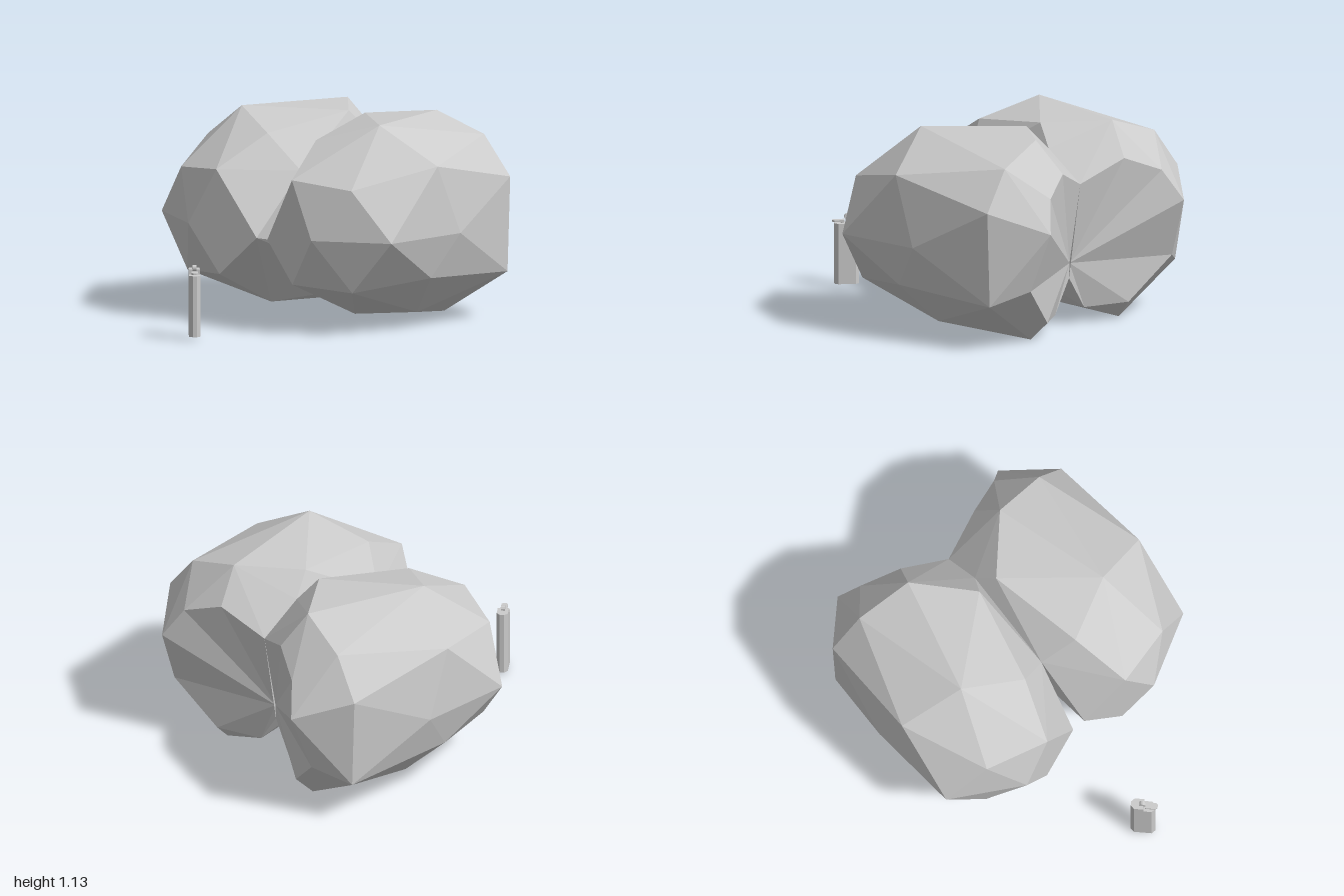
import * as THREE from 'three';
import { ConvexGeometry } from 'three/addons/geometries/ConvexGeometry.js';

const grey = new THREE.MeshStandardMaterial({ color: 0xcccccc, flatShading: true, side: THREE.DoubleSide });
const V = (p) => new THREE.Vector3(...p);

// Rim of the hollowed back, from the cleft round the outside and back to the cleft
const rim = [
  [0, 0.815, -0.735], [0.265, 0.93, -0.83], [0.48, 0.84, -0.92], [0.575, 0.665, -1],
  [0.61, 0.335, -0.885], [0.35, 0.1, -0.79], [0.125, 0.09, -0.66], [0, 0.275, -0.655],
].map(V);
const backCentre = V([0, 0.36, -0.658]);

// Remaining corners of one faceted lobe
const corners = [
  [0, 0.985, -0.51], [0, 0.83, 0.06], [0.06, 1.105, -0.4], [0.18, 1.03, 0.135], // cleft
  [0.33, 1.115, -0.69], [0.645, 1.01, -0.73], [0.82, 0.79, -0.75], [0.8, 0.26, -0.75], // back ring
  [0.51, 1.13, -0.02], [0.85, 0.925, -0.12], [0.885, 0.54, -0.27], [0.81, 0.3, -0.11], // outer side
  [0.605, 0.075, -0.225], [0.31, 0.055, -0.04], [0.38, 0, -0.695], // underside
  [0.28, 0.855, 0.445], [0.63, 0.82, 0.345], [0.85, 0.54, 0.26], [0.455, 0.54, 0.48],
  [0.61, 0.245, 0.315], [0.27, 0.27, 0.43], [0.04, 0.49, 0.38], // front
].map(V);

// Hull of the corners, with the flat back replaced by a fan round the cleft
function lobe(side) {
  const hull = new ConvexGeometry([...rim, ...corners]).getAttribute('position');
  const onRim = (p) => rim.some((r) => r.distanceTo(p) < 1e-4);
  const triangles = [];
  for (let i = 0; i < hull.count; i += 3) {
    const tri = [0, 1, 2].map((k) => new THREE.Vector3().fromBufferAttribute(hull, i + k));
    if (!tri.every(onRim)) triangles.push(tri);
  }
  for (let i = 0; i < rim.length - 1; i++) triangles.push([backCentre, rim[i], rim[i + 1]]);

  const points = triangles.flatMap((tri) => (side < 0 ? [...tri].reverse() : tri))
    .map((p) => new THREE.Vector3(p.x * side, p.y, p.z));
  const geometry = new THREE.BufferGeometry().setFromPoints(points);
  geometry.computeVertexNormals();
  const mesh = new THREE.Mesh(geometry, grey);
  mesh.name = side > 0 ? 'leftLobe' : 'rightLobe';
  return mesh;
}

// Upright prism with chamfered corners
function prism(name, x0, x1, width, cut0, cut1, y0, y1) {
  const h = width / 2;
  const shape = new THREE.Shape([
    [x0, -h + cut0], [x0 + cut0, -h], [x1 - cut1, -h], [x1, -h + cut1],
    [x1, h - cut1], [x1 - cut1, h], [x0 + cut0, h], [x0, h - cut0],
  ].map(([x, y]) => new THREE.Vector2(x, y)));
  const geometry = new THREE.ExtrudeGeometry(shape, { depth: y1 - y0, bevelEnabled: false });
  geometry.rotateX(-Math.PI / 2).translate(0, y0, 0);
  const mesh = new THREE.Mesh(geometry, grey);
  mesh.name = name;
  return mesh;
}

// Small pocket lighter standing diagonally
function lighter() {
  const group = new THREE.Group();
  group.name = 'lighter';
  group.add(prism('lighterBody', -0.07, 0.066, 0.062, 0.019, 0.019, 0.02, 0.36));
  group.add(prism('lighterHood', -0.07, 0.002, 0.062, 0.019, 0.001, 0.36, 0.388));
  group.add(prism('lighterLever', 0.01, 0.078, 0.036, 0.001, 0.01, 0.368, 0.378));
  group.add(prism('lighterValve', 0.012, 0.03, 0.02, 0.003, 0.003, 0.36, 0.37));
  const wheel = new THREE.Mesh(new THREE.CylinderGeometry(0.018, 0.018, 0.022, 10), grey);
  wheel.name = 'lighterWheel';
  wheel.rotation.x = Math.PI / 2;
  wheel.position.set(-0.006, 0.394, 0);
  group.add(wheel);
  group.position.z = 0.935;
  group.rotation.y = -Math.PI / 4;
  return group;
}

export function createModel() {
  const model = new THREE.Group();
  model.name = 'lobedRockWithLighter';
  model.add(lobe(1), lobe(-1), lighter());
  return model;
}
